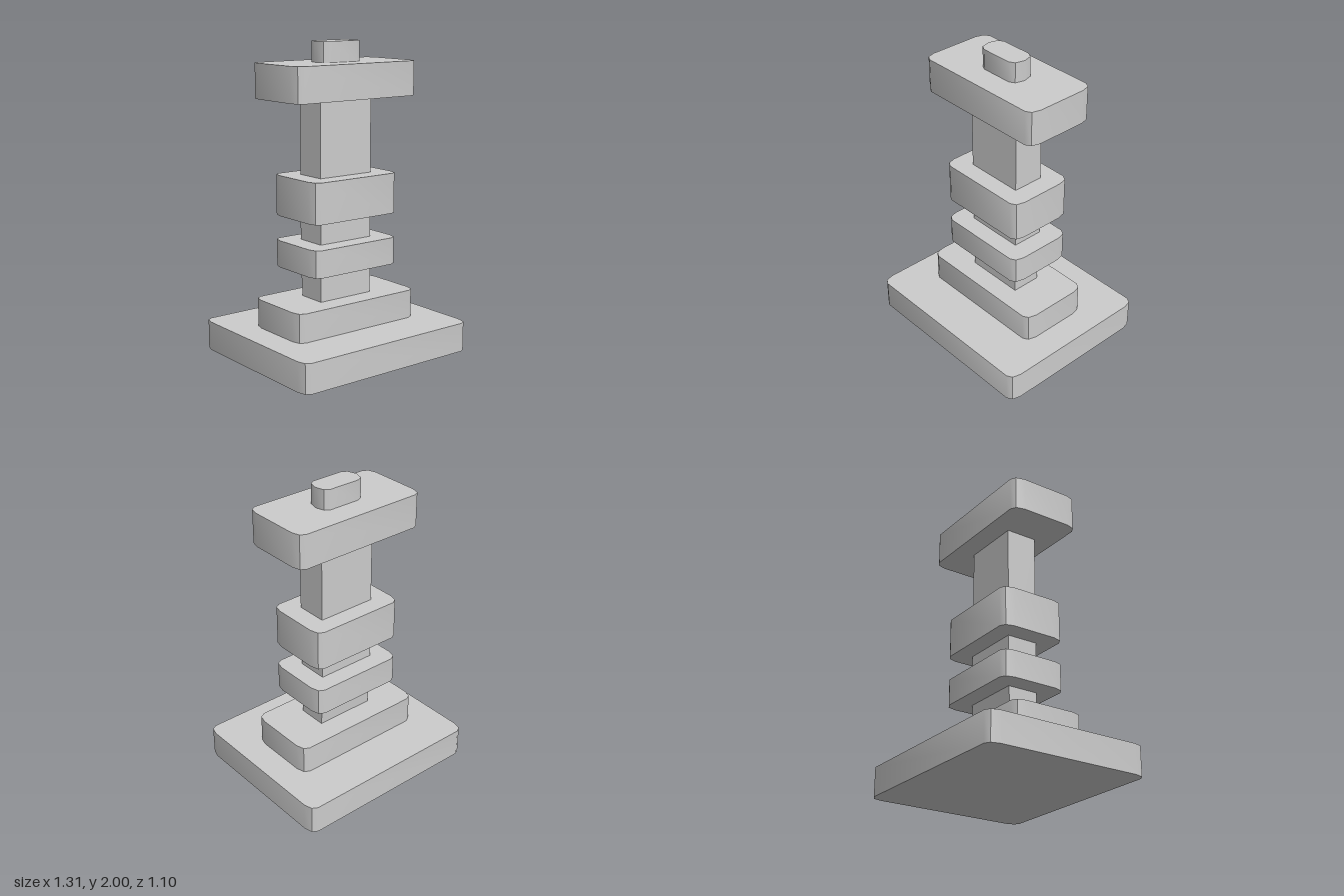
import * as THREE from 'three';
import { toCreasedNormals } from 'three/addons/utils/BufferGeometryUtils.js';

const material = new THREE.MeshStandardMaterial({ color: 0xcccccc });

// Slab with two-step clipped corners; hx and hz are half sizes
function slab(name, hx, hz, y0, y1) {
  const corner = [[hx, hz - 0.075], [hx - 0.015, hz - 0.02], [hx - 0.05, hz]];
  const mirrored = [...corner].reverse();
  const outline = [
    ...corner,
    ...mirrored.map(([x, z]) => [-x, z]),
    ...corner.map(([x, z]) => [-x, -z]),
    ...mirrored.map(([x, z]) => [x, -z]),
  ].map(([x, z]) => new THREE.Vector2(x, z));
  const geometry = new THREE.ExtrudeGeometry(new THREE.Shape(outline), {
    depth: y1 - y0, bevelEnabled: false,
  });
  geometry.rotateX(-Math.PI / 2).translate(0, y0, 0);
  // Soft across the shallow corner bends, sharp at the steeper ones
  const mesh = new THREE.Mesh(toCreasedNormals(geometry, 0.6), material);
  mesh.name = name;
  return mesh;
}

// Rectangular length of the column
function post(name, y0, y1) {
  const geometry = new THREE.BoxGeometry(0.4, y1 - y0, 0.21);
  geometry.translate(0, (y0 + y1) / 2, 0);
  const mesh = new THREE.Mesh(geometry, material);
  mesh.name = name;
  return mesh;
}

export function createModel() {
  const group = new THREE.Group();
  group.name = 'steppedPillar';

  // Stepped foot
  group.add(slab('base', 0.655, 0.55, 0, 0.19));
  group.add(slab('plinth', 0.47, 0.243, 0.19, 0.375));

  // Column, its lowest length leaning in slightly at the back
  const foot = post('columnFoot', 0.375, 0.6);
  const p = foot.geometry.attributes.position;
  for (let i = 0; i < p.count; i++) {
    if (p.getY(i) < 0.4 && p.getZ(i) < 0) p.setZ(i, -0.09);
  }
  foot.geometry.computeVertexNormals();
  group.add(foot, post('column', 0.6, 1.65));

  // Collars around the column
  group.add(slab('lowerCollar', 0.33, 0.225, 0.57, 0.745));
  group.add(slab('upperCollar', 0.33, 0.225, 0.905, 1.165));

  // Head and its top knob
  group.add(slab('head', 0.47, 0.243, 1.65, 1.87));
  group.add(slab('knob', 0.157, 0.08, 1.87, 2));

  return group;
}
